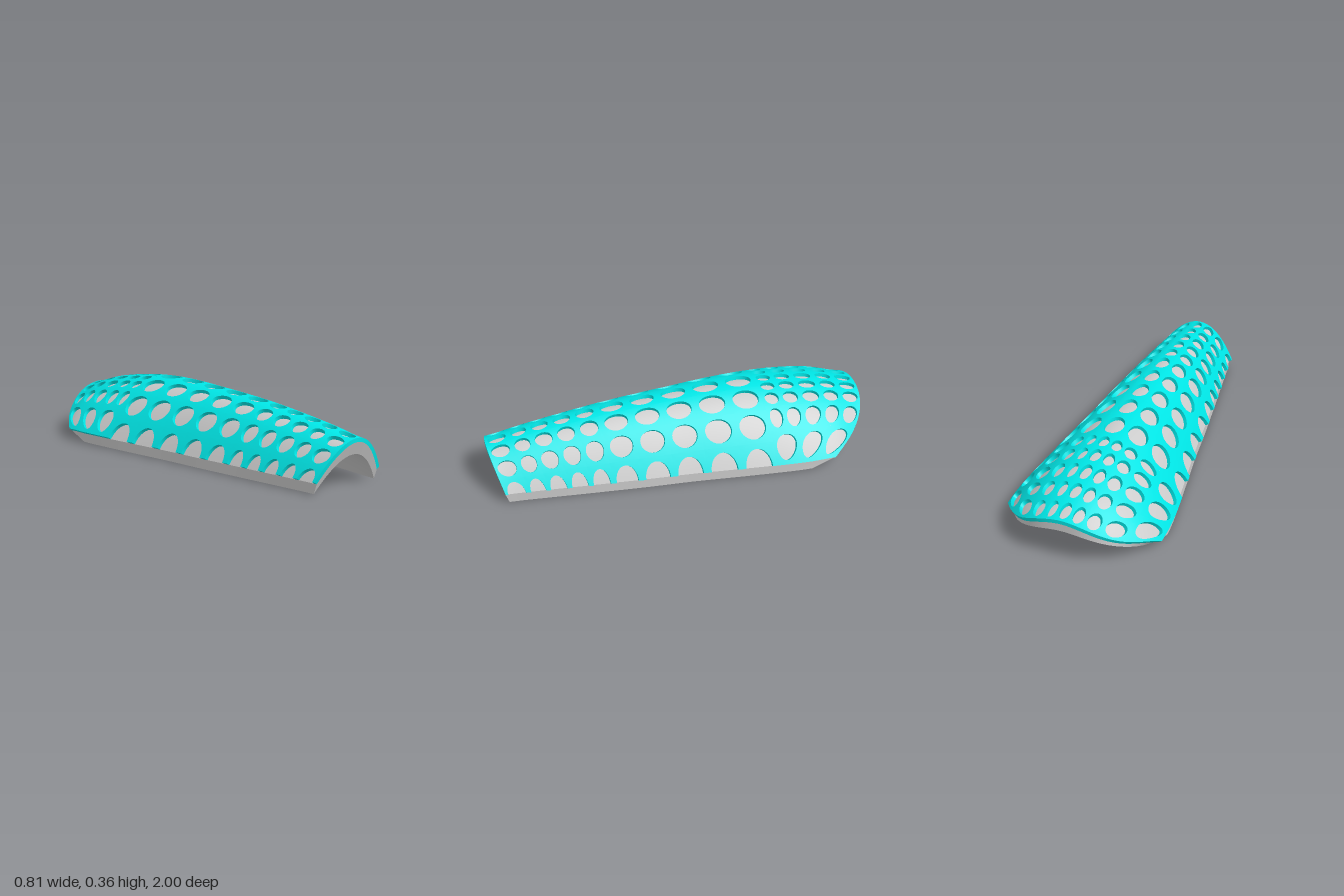
import * as THREE from 'three';
import { mergeGeometries } from 'three/addons/utils/BufferGeometryUtils.js';

// Smooth value along the guard; samples are evenly spaced from z = 1 to z = -1
function along(values) {
  const curve = new THREE.SplineCurve(values.map((v, i) => new THREE.Vector2(i, v)));
  return z => curve.getPoint(THREE.MathUtils.clamp((1 - z) / 2, 0, 1)).y;
}
const halfWidth = along([.225, .245, .268, .29, .312, .332, .358, .383, .403, .4, .38]);
const crown = along([.243, .275, .302, .325, .34, .35, .358, .355, .336, .302, .25]);
const rim = along([.06, .06, .06, .06, .06, .06, .06, .06, .06, .05, -.02]);
const wallDepth = along([.082, .075, .07, .065, .06, .06]);

const COVER = 0.02;   // thickness of the perforated cover
const SPLIT = -0.43;  // where the hole pattern changes

// Rounded back end and slanted front end
function warpBack(v, cut) {
  return v > SPLIT ? v : SPLIT + (v - SPLIT) * (1 - cut / (1 + SPLIT));
}
function slantFront(y, z) {
  return z - 0.29 * (0.24 - y) * THREE.MathUtils.clamp((z - 0.3) / 0.7, 0, 1);
}

// Point on the arched surface: u across (-1..1), v along (1..-1), sunk by depth
function arch(u, v, depth) {
  const z = warpBack(v, 0.25 * Math.abs(u) ** 3);
  const w = halfWidth(z), h = crown(z), drop = h - rim(z);
  const slope = 2 * drop * u / w, len = Math.hypot(slope, 1);
  const y = h - drop * u * u;
  return new THREE.Vector3(w * u - depth * slope / len, y - depth / len, slantFront(y, z));
}

// Point on the inside of the shell, reaching y = 0 at the sides
function inside(u, v) {
  const a = Math.abs(u);
  const z = warpBack(v, 0.25 * a ** 3 + 0.12 * a ** 12);
  const y = (crown(z) - wallDepth(z)) * (1 - u * u);
  return new THREE.Vector3((halfWidth(z) - 0.016) * u, y, slantFront(y, z));
}

// Grid of quads over f(a, b), both 0..1
function patch(f, na, nb) {
  const pos = [], index = [];
  for (let j = 0; j <= nb; j++)
    for (let i = 0; i <= na; i++) pos.push(...f(i / na, j / nb).toArray());
  for (let j = 0; j < nb; j++)
    for (let i = 0; i < na; i++) {
      const p = j * (na + 1) + i, q = p + na + 1;
      index.push(p, p + 1, q + 1, p, q + 1, q);
    }
  const g = new THREE.BufferGeometry();
  g.setAttribute('position', new THREE.Float32BufferAttribute(pos, 3));
  g.setIndex(index);
  g.computeVertexNormals();
  return g;
}

function buildShell() {
  const outer = (u, v) => arch(u, v, COVER);
  const between = (u, v, t) => outer(u, v).lerp(inside(u, v), t);
  return mergeGeometries([
    patch((a, b) => outer(2 * a - 1, 1 - 2 * b), 48, 64),
    patch((a, b) => inside(1 - 2 * a, 1 - 2 * b), 48, 64),
    // side walls
    patch((a, b) => between(1, 1 - 2 * b, 1 - a), 1, 64).scale(1, 1, 1),
    patch((a, b) => between(-1, 1 - 2 * b, a), 1, 64),
    // front and back edges
    patch((a, b) => between(2 * a - 1, 1, 1 - b), 48, 1),
    patch((a, b) => between(1 - 2 * a, -1, 1 - b), 48, 1),
  ]);
}

// One piece of the cover with an oval hole; open pieces are half holes on the rim
function holeCell(parts, side, u0, u1, v0, v1, open) {
  const cu = open ? u1 : (u0 + u1) / 2, ru = open ? u1 - u0 : (u1 - u0) / 2;
  const cv = (v0 + v1) / 2, rv = Math.abs(v1 - v0) / 2, hole = 0.77;
  const start = open ? Math.PI / 2 : 0, sweep = open ? Math.PI : 2 * Math.PI;
  const at = (a, b, depth) => {
    const angle = start + sweep * (side < 0 ? 1 - a : a);
    const c = Math.cos(angle), s = Math.sin(angle);
    const r = THREE.MathUtils.lerp(hole, 1 / Math.max(Math.abs(c), Math.abs(s)), b);
    return arch(side * (cu + ru * r * c), cv + rv * r * s, depth);
  };
  const n = open ? 16 : 32;
  parts.push(patch((a, b) => at(a, b, 0), n, 3));
  parts.push(patch((a, b) => at(a, 0, COVER * (1 - b)), n, 1));
  if (open) for (const e of [0, 1])
    parts.push(patch((a, b) => at(e, e ? 1 - a : a, COVER * (1 - b)), 1, 1));
}

function buildCover() {
  const parts = [];
  const grid = (us, vs, openLast) => {
    for (let i = 0; i + 1 < us.length; i++)
      for (let j = 0; j + 1 < vs.length; j++)
        for (const side of us[i] < 0 ? [1] : [1, -1])
          holeCell(parts, side, us[i], us[i + 1], vs[j], vs[j + 1], openLast && i === us.length - 2);
  };
  // front and middle: seven columns, the outermost open at the rim
  grid([-.17, .17, .5, .81, 1], [1, .875, .77, .655, .54, .42, .265, .1, -.07, -.25, SPLIT], true);
  // back: finer columns near the middle, large holes at the sides
  grid([-.09, .09, .26, .46, .72], [SPLIT, -.53, -.64, -.765, -.88, -1], false);
  grid([.72, 1], [SPLIT, -.62, -.81, -1], false);
  // edges of the cover
  parts.push(patch((a, b) => arch(2 * a - 1, 1, COVER * (1 - b)), 48, 1));
  parts.push(patch((a, b) => arch(1 - 2 * a, -1, COVER * (1 - b)), 48, 1));
  for (const s of [1, -1])
    parts.push(patch((a, b) =>
      arch(s, THREE.MathUtils.lerp(SPLIT, -1, s > 0 ? a : 1 - a), COVER * (1 - b)), 16, 1));
  return mergeGeometries(parts);
}

export function createModel() {
  const group = new THREE.Group();
  group.name = 'shinGuard';
  const add = (name, geometry, color) => {
    const mesh = new THREE.Mesh(geometry,
      new THREE.MeshStandardMaterial({ color, side: THREE.DoubleSide }));
    mesh.name = name;
    group.add(mesh);
  };
  add('innerShell', buildShell(), 0xcccccc);
  add('perforatedCover', buildCover(), 0x00e5e5);
  return group;
}
